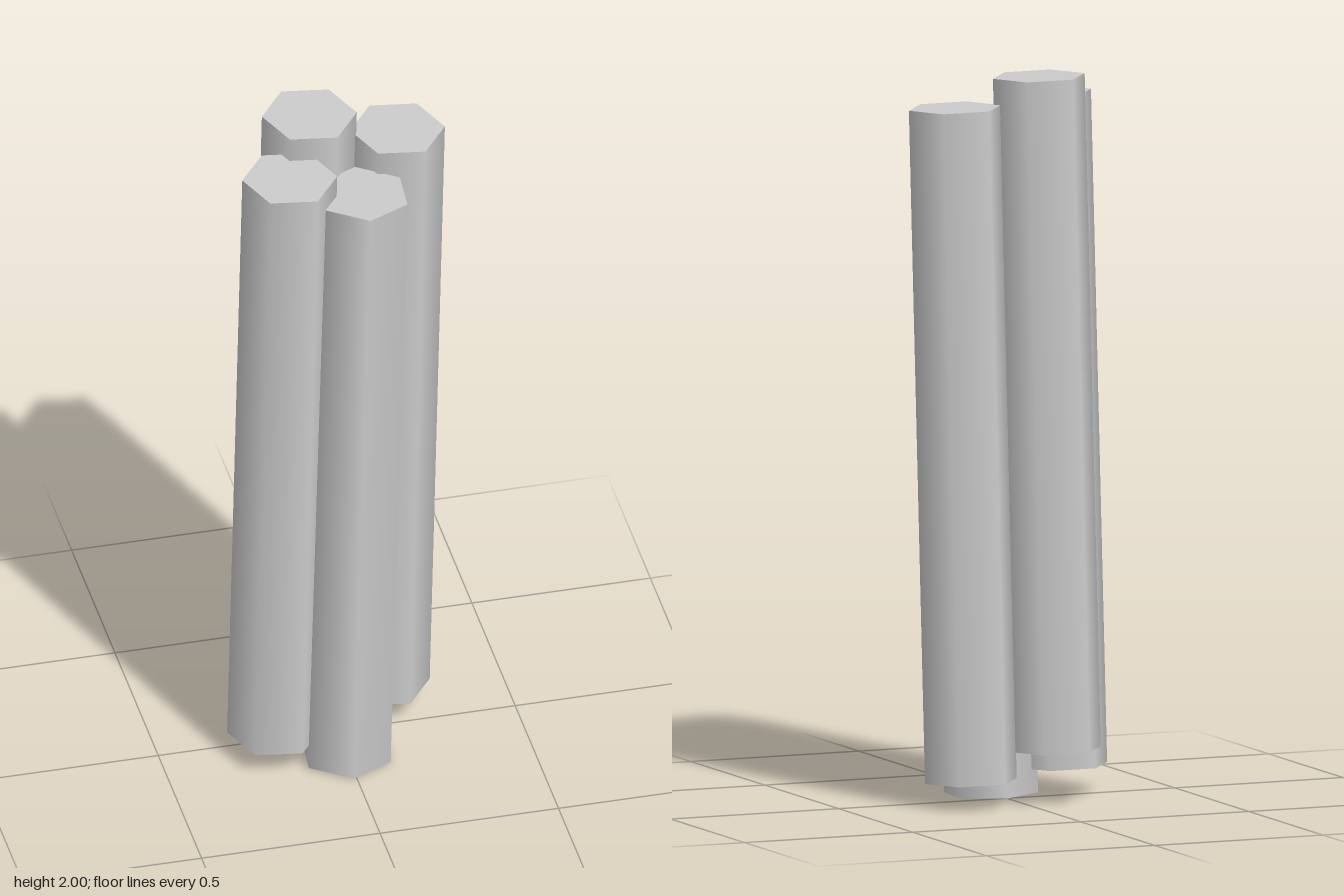
import * as THREE from 'three';

const UP = new THREE.Vector3(0, 1, 0);

export function createModel() {
  const model = new THREE.Group();
  const material = new THREE.MeshStandardMaterial({ color: 0xcccccc });

  // Six-sided column with softly shaded sides and flat caps
  const geometry = new THREE.CylinderGeometry(0.13, 0.13, 1.85, 6);

  // Each column leans slightly: top centre, sideways drift of the foot, turn about its axis
  const columns = [
    { name: 'backColumn', top: [-0.054, 1.997, -0.094], foot: [-0.036, -0.027], turn: 22.4 },
    { name: 'leftColumn', top: [0.189, 1.921, -0.078], foot: [-0.036, -0.027], turn: 22.4 },
    { name: 'rightColumn', top: [-0.153, 1.925, 0.088], foot: [-0.036, -0.027], turn: 22.4 },
    { name: 'frontColumn', top: [0.047, 1.854, 0.108], foot: [-0.047, -0.002], turn: -4.2 },
  ];

  for (const { name, top, foot, turn } of columns) {
    const axis = new THREE.Vector3(-foot[0], 1.85, -foot[1]).normalize();
    const column = new THREE.Mesh(geometry, material);
    column.name = name;
    column.quaternion.setFromUnitVectors(UP, axis);
    column.rotateY(THREE.MathUtils.degToRad(turn));
    column.position.set(...top).addScaledVector(axis, -1.85 / 2);
    model.add(column);
  }
  return model;
}
